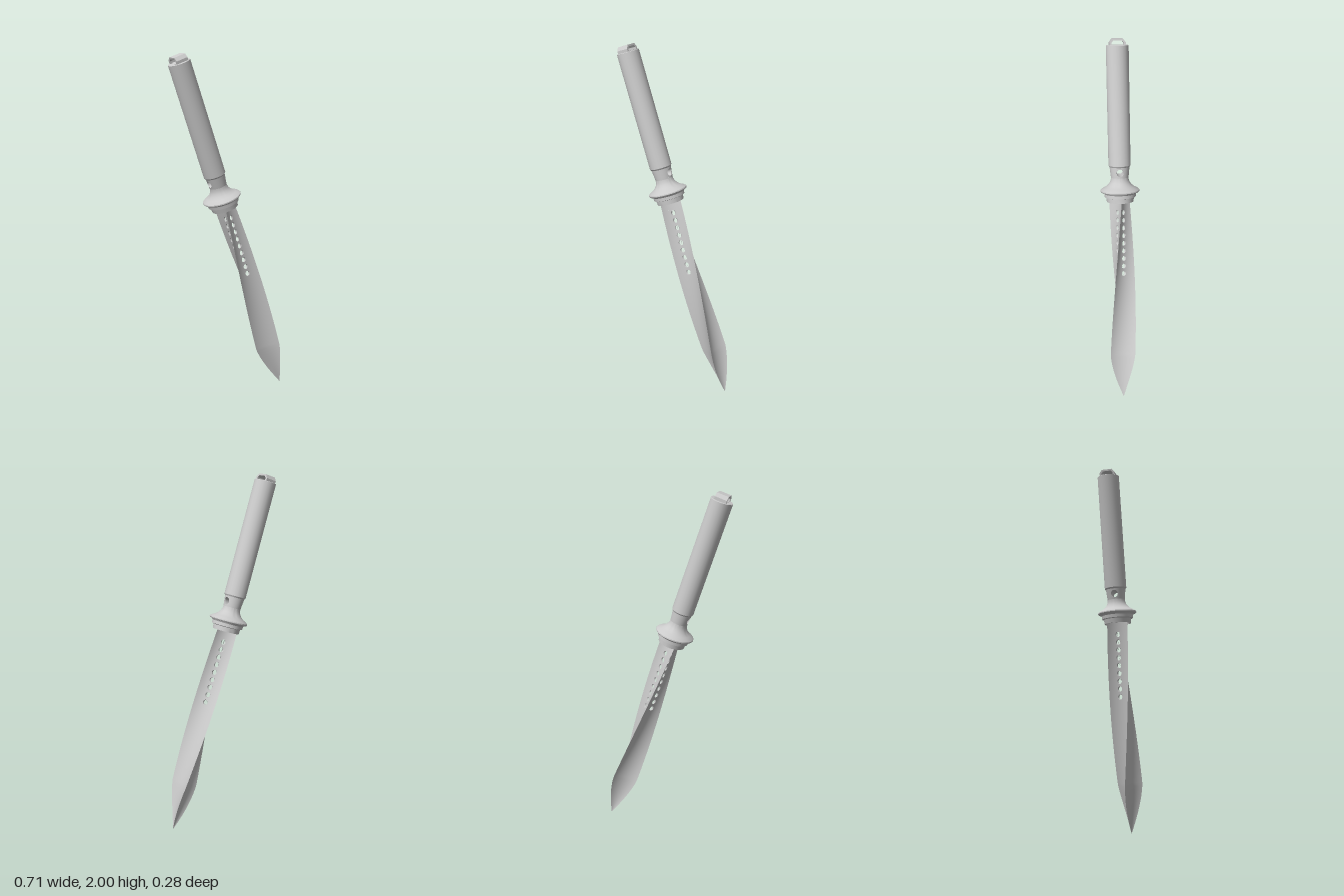
import * as THREE from 'three';
import { mergeGeometries, toCreasedNormals } from 'three/addons/utils/BufferGeometryUtils.js';
import { ParametricGeometry } from 'three/addons/geometries/ParametricGeometry.js';

const grey = new THREE.MeshStandardMaterial({ color: 0xcccccc });
const greyDouble = new THREE.MeshStandardMaterial({ color: 0xcccccc, side: THREE.DoubleSide });
const lerp = THREE.MathUtils.lerp;

function part(name, geometry, material = grey) {
  const mesh = new THREE.Mesh(geometry, material);
  mesh.name = name;
  return mesh;
}

// Rectangular patch of a surface F(u, v, target)
function patch(F, u0, u1, v0, v1, nu, nv) {
  return new ParametricGeometry((u, v, p) => F(lerp(u0, u1, u), lerp(v0, v1, v), p), nu, nv);
}

// Rectangular patch of F pierced by an oval hole, with a short wall going in
function holedPatch(F, cu, cv, hw, hh, ru, rv, depth) {
  const face = new ParametricGeometry((u, v, p) => {
    const c = Math.cos(-2 * Math.PI * u), s = Math.sin(-2 * Math.PI * u);
    const m = Math.max(Math.abs(c), Math.abs(s));
    F(cu + lerp(ru * c, hw * c / m, v), cv + lerp(rv * s, hh * s / m, v), p);
  }, 24, 2);
  const wall = new ParametricGeometry((u, v, p) => {
    const a = -2 * Math.PI * u;
    F(cu + ru * Math.cos(a), cv + rv * Math.sin(a), p);
    const k = lerp(depth, 1, v);
    p.x *= k;
    p.z *= k;
  }, 24, 1);
  return [face, wall];
}

// Blade: distance of the three edges from the axis, at height s above the tip
const SHOULDER = 0.28;
function edgeRadius(s) {
  if (s < SHOULDER) return 0.083 * (1 - Math.pow(1 - s / SHOULDER, 1.4));
  return 0.083 - 0.016 * Math.pow((s - SHOULDER) / 0.92, 1.3);
}

// One concave flute between two twisting edges
function fluteSurface(k) {
  return (t, s, p) => {
    const r = edgeRadius(s);
    const a0 = THREE.MathUtils.degToRad(69.5 - 73 * s - 120 * k);
    const a1 = a0 - 2 * Math.PI / 3, am = (a0 + a1) / 2;
    const w0 = (1 - t) * (1 - t), wm = 2 * t * (1 - t) * 0.1, w1 = t * t;
    p.set(
      r * (w0 * Math.cos(a0) + wm * Math.cos(am) + w1 * Math.cos(a1)), s,
      r * (w0 * Math.sin(a0) + wm * Math.sin(am) + w1 * Math.sin(a1)));
  };
}

function fluteGeometry(k) {
  const F = fluteSurface(k);
  const holes = 9, step = 0.045, first = 0.772;
  const low = first - step / 2, high = low + holes * step;
  const pieces = [
    patch(F, 0, 1, 0.002, SHOULDER, 16, 16),
    patch(F, 0, 1, SHOULDER, low, 16, 24),
    patch(F, 0, 0.3, low, high, 6, 18),
    patch(F, 0.7, 1, low, high, 6, 18),
    patch(F, 0, 1, high, 1.22, 16, 4),
  ];
  for (let i = 0; i < holes; i++) {
    pieces.push(...holedPatch(F, 0.5, first + i * step, 0.2, step / 2, 0.115, 0.015, 0.7));
  }
  return mergeGeometries(pieces);
}

function lathe(points, sides) {
  const g = new THREE.LatheGeometry(points.map(([x, y]) => new THREE.Vector2(x, y)), sides);
  return toCreasedNormals(g, 0.6);
}

// Neck ring with a cross hole
function makeNeck(yaw) {
  const neck = new THREE.Group();
  neck.name = 'neck';
  const y0 = 1.335, y1 = 1.4, half = 0.6, mid = 1.366;
  const F = (a, y, p) => {
    const r = lerp(0.05, 0.057, (y - y0) / (y1 - y0));
    p.set(r * Math.sin(a), y, r * Math.cos(a));
  };
  const pieces = [];
  for (const a of [Math.PI / 2 + yaw, 1.5 * Math.PI + yaw]) {
    pieces.push(...holedPatch(F, a, mid, half, 0.027, 0.38, 0.021, 0.9));
    pieces.push(patch(F, a + half, a + Math.PI - half, y0, y1, 12, 2));
    pieces.push(patch(F, a - half, a + half, y0, mid - 0.027, 8, 1));
    pieces.push(patch(F, a - half, a + half, mid + 0.027, y1, 8, 1));
  }
  const bore = new THREE.CylinderGeometry(0.021, 0.021, 0.095, 20, 1, true);
  bore.rotateZ(Math.PI / 2).rotateY(yaw).translate(0, mid, 0);
  neck.add(part('neckRing', mergeGeometries(pieces)), part('neckBore', bore, greyDouble));
  return neck;
}

// Pommel loop: chamfered block with a slot through it
function makePommel(yaw) {
  const outline = new THREE.Shape([
    [-0.045, -0.01], [0.045, -0.01], [0.045, 0.016], [0.03, 0.036], [-0.03, 0.036], [-0.045, 0.016],
  ].map(([x, y]) => new THREE.Vector2(x, y)));
  outline.holes.push(new THREE.Path([
    [-0.033, 0.002], [-0.033, 0.014], [-0.024, 0.026], [0.024, 0.026], [0.033, 0.014], [0.033, 0.002],
  ].map(([x, y]) => new THREE.Vector2(x, y))));
  const g = new THREE.ExtrudeGeometry(outline, { depth: 0.07, bevelEnabled: false });
  g.translate(0, 0, -0.035).rotateY(Math.PI / 2 + yaw).translate(0, 2.07, 0);
  return part('pommelLoop', g);
}

export function createModel() {
  const model = new THREE.Group();
  model.name = 'dagger';
  const dagger = new THREE.Group();
  dagger.name = 'tiltedDagger';
  model.add(dagger);
  const yaw = 0.25;

  // Twisted three-edged blade, point at the local origin
  const blade = new THREE.Group();
  blade.name = 'blade';
  for (let k = 0; k < 3; k++) blade.add(part('flute' + (k + 1), fluteGeometry(k)));
  dagger.add(blade);

  // Collar, round guard and flare up to the neck
  dagger.add(part('guard', lathe([
    [0, 1.215], [0.068, 1.215], [0.07, 1.196], [0.076, 1.196], [0.079, 1.222],
    [0.089, 1.225], [0.09, 1.243], [0.096, 1.25], [0.107, 1.252], [0.111, 1.257],
    [0.11, 1.263], [0.102, 1.27], [0.085, 1.279], [0.068, 1.292], [0.057, 1.307],
    [0.051, 1.322], [0.05, 1.336],
  ], 48)));
  dagger.add(makeNeck(yaw));

  // Plain round grip
  dagger.add(part('handle', lathe([
    [0, 1.396], [0.057, 1.396], [0.063, 1.404], [0.063, 2.068], [0.061, 2.07], [0, 2.07],
  ], 20)));
  dagger.add(makePommel(yaw));

  // Lean the dagger so it stands on its point
  const axis = new THREE.Vector3(-0.655, 1.957, 0.16).normalize();
  dagger.quaternion.setFromUnitVectors(new THREE.Vector3(0, 1, 0), axis);
  dagger.position.set(0.357, 0, -0.09);
  return model;
}
